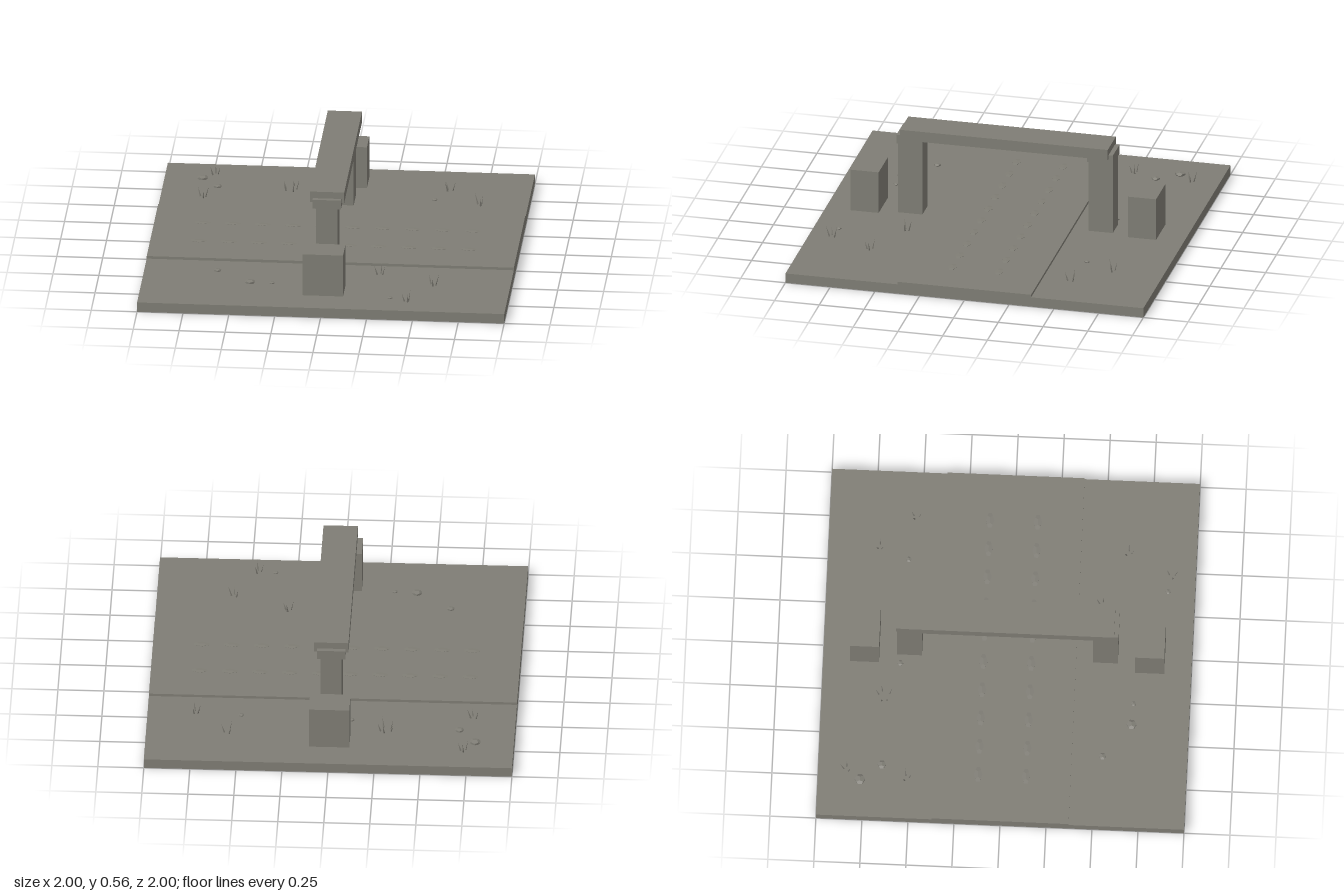
import * as THREE from 'three';

export function createModel() {
  const model = new THREE.Group();
  const stone = new THREE.MeshStandardMaterial({ color: 0x7f7d75 });
  stone.name = 'weathered stone';
  stone.flatShading = true;

  const add = (name, geometry, x, y, z, parent = model) => {
    const mesh = new THREE.Mesh(geometry, stone);
    mesh.name = name;
    mesh.position.set(x, y, z);
    parent.add(mesh);
    return mesh;
  };
  const box = (name, w, y0, y1, d, z = 0) =>
    add(name, new THREE.BoxGeometry(w, y1 - y0, d), 0, (y0 + y1) / 2, z);

  // Ground slab and raised road
  box('groundSlab', 2, 0, 0.055, 2);
  box('road', 2, 0.05, 0.07, 0.745);

  // Gate: pillars, capitals, lintel and the blocks beside them
  for (const side of [-1, 1]) {
    box('pillar', 0.115, 0.06, 0.48, 0.135, side * 0.532);
    box('capital', 0.155, 0.475, 0.527, 0.145, side * 0.532);
    box('sideBlock', 0.22, 0.068, 0.308, 0.158, side * 0.775);
  }
  box('lintel', 0.187, 0.505, 0.565, 1.16);

  // Two rows of worn, nearly flush paving stones
  const paver = new THREE.DodecahedronGeometry(1);
  for (const z of [-0.13, 0.13]) {
    for (let i = 0; i < 10; i++) {
      const mesh = add('pavingStone', paver, -0.735 + i * 0.1633, 0.07, z);
      mesh.scale.set(0.045, 0.003, 0.025);
    }
  }

  // Flat pebbles: x, z, radius
  const pebble = new THREE.DodecahedronGeometry(1);
  const pebbles = [
    [-0.79, -0.77, 0.031], [-0.7, -0.655, 0.025], [-0.11, -0.58, 0.017], [0.49, -0.56, 0.016],
    [-0.6, 0.54, 0.021], [-0.41, 0.69, 0.029], [-0.29, 0.695, 0.015], [0.365, 0.855, 0.015],
  ];
  for (const [x, z, r] of pebbles) {
    add('pebble', pebble, x, 0.07, z).scale.set(r, r * 0.38, r);
  }

  // Grass tufts: x, z, number of blades
  const blade = new THREE.ConeGeometry(0.005, 0.06, 4);
  blade.translate(0, 0.03, 0);
  const tufts = [
    [-0.73, -0.845, 3], [-0.77, -0.52, 3], [-0.3, -0.66, 5], [0.56, -0.72, 3],
    [0.74, -0.53, 3], [0.28, 0.5, 3], [0.58, 0.63, 3], [0.46, 0.87, 3],
  ];
  tufts.forEach(([x, z, count], t) => {
    const tuft = new THREE.Group();
    tuft.name = 'grassTuft';
    tuft.position.set(x, 0.06, z);
    for (let i = 0; i < count; i++) {
      const a = t * 1.3 + i * 2.4;
      const spread = count > 3 ? 0.03 : 0.015;
      const mesh = add('grassBlade', blade, Math.cos(a) * spread, 0, Math.sin(a) * spread, tuft);
      mesh.rotation.set(Math.sin(a) * 0.3, 0, -Math.cos(a) * 0.3);
      mesh.scale.y = 0.8 + 0.15 * (i % 3);
    }
    model.add(tuft);
  });

  return model;
}
